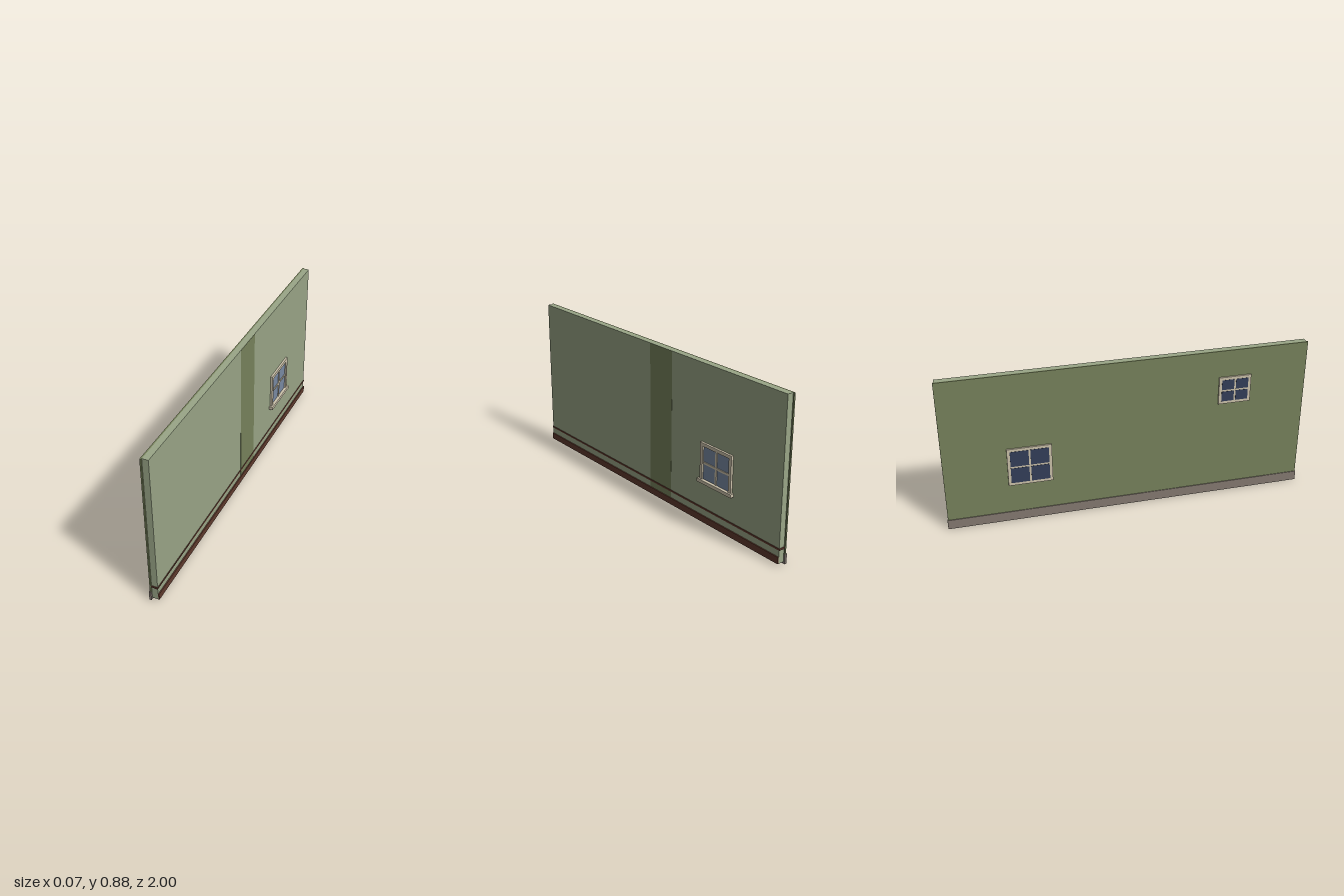
import * as THREE from 'three';

const mat = (name, color) => {
  const m = new THREE.MeshStandardMaterial({ color });
  m.name = name;
  return m;
};

export function createModel() {
  const model = new THREE.Group();
  model.name = 'houseWall';

  const sage = mat('sage plaster', 0x9aa687);
  const olive = mat('olive siding', 0x78835c);
  const brown = mat('brown wood', 0x603a2d);
  const stone = mat('grey stone', 0x857a72);
  const cream = mat('cream trim', 0xcdc3ac);
  const paleGlass = mat('pale glass', 0x7a8ba4);
  const darkGlass = mat('dark glass', 0x333e5a);

  // Box given by its limits on each axis
  const box = (name, m, x0, x1, y0, y1, z0, z1, parent = model) => {
    const mesh = new THREE.Mesh(new THREE.BoxGeometry(x1 - x0, y1 - y0, z1 - z0), m);
    mesh.position.set((x0 + x1) / 2, (y0 + y1) / 2, (z0 + z1) / 2);
    mesh.name = name;
    parent.add(mesh);
    return mesh;
  };

  // Wall layers
  box('innerWall', sage, -0.018, 0.015, 0.01, 0.875, -0.99, 0.99);
  box('outerSiding', olive, -0.026, -0.018, 0.05, 0.875, -0.997, 0.997);
  box('foundation', stone, -0.03, -0.018, 0, 0.055, -1, 1);

  // Inside: olive strip, rail and baseboard
  box('wallStrip', olive, 0.014, 0.0156, 0.047, 0.874, -0.18, 0);
  box('rail', brown, -0.018, 0.0175, 0.083, 0.093, -0.994, 0.994);
  box('baseboard', brown, 0.015, 0.021, 0.01, 0.047, -0.99, 0.99);

  // Inside window: open frame, recessed glass, crossed bars and sill
  const inner = new THREE.Group();
  inner.name = 'innerWindow';
  model.add(inner);
  const [y0, y1, z0, z1, b] = [0.25, 0.459, -0.654, -0.422, 0.019];
  const ym = (0.257 + y1 - b) / 2, zm = (z0 + z1) / 2;
  box('frameTop', cream, 0.015, 0.027, y1 - b, y1, z0, z1, inner);
  box('frameSideBack', cream, 0.015, 0.027, y0, y1 - b, z0, z0 + b, inner);
  box('frameSideFront', cream, 0.015, 0.027, y0, y1 - b, z1 - b, z1, inner);
  box('innerGlass', paleGlass, 0.015, 0.019, y0, y1 - b, z0 + b, z1 - b, inner);
  box('uprightBar', cream, 0.015, 0.023, y0, y1 - b, zm - 0.006, zm + 0.006, inner);
  box('crossBar', cream, 0.015, 0.0228, ym - 0.006, ym + 0.006, z0 + b, z1 - b, inner);
  box('sill', cream, 0.015, 0.036, 0.238, 0.257, -0.665, -0.411, inner);

  // Outside windows: trim board with four thin panes
  const outerWindow = (name, ya, yb, za, zb) => {
    const g = new THREE.Group();
    g.name = name;
    model.add(g);
    box('trim', cream, -0.035, -0.026, ya, yb, za, zb, g);
    const edge = 0.016, bar = 0.005;
    const yc = (ya + yb) / 2, zc = (za + zb) / 2;
    for (const [p, q] of [[ya + edge, yc - bar], [yc + bar, yb - edge]])
      for (const [r, s] of [[za + edge, zc - bar], [zc + bar, zb - edge]])
        box('pane', darkGlass, -0.0365, -0.035, p, q, r, s, g);
  };
  outerWindow('lowerOuterWindow', 0.225, 0.448, -0.66, -0.42);
  outerWindow('upperOuterWindow', 0.564, 0.722, 0.5, 0.68);

  return model;
}
